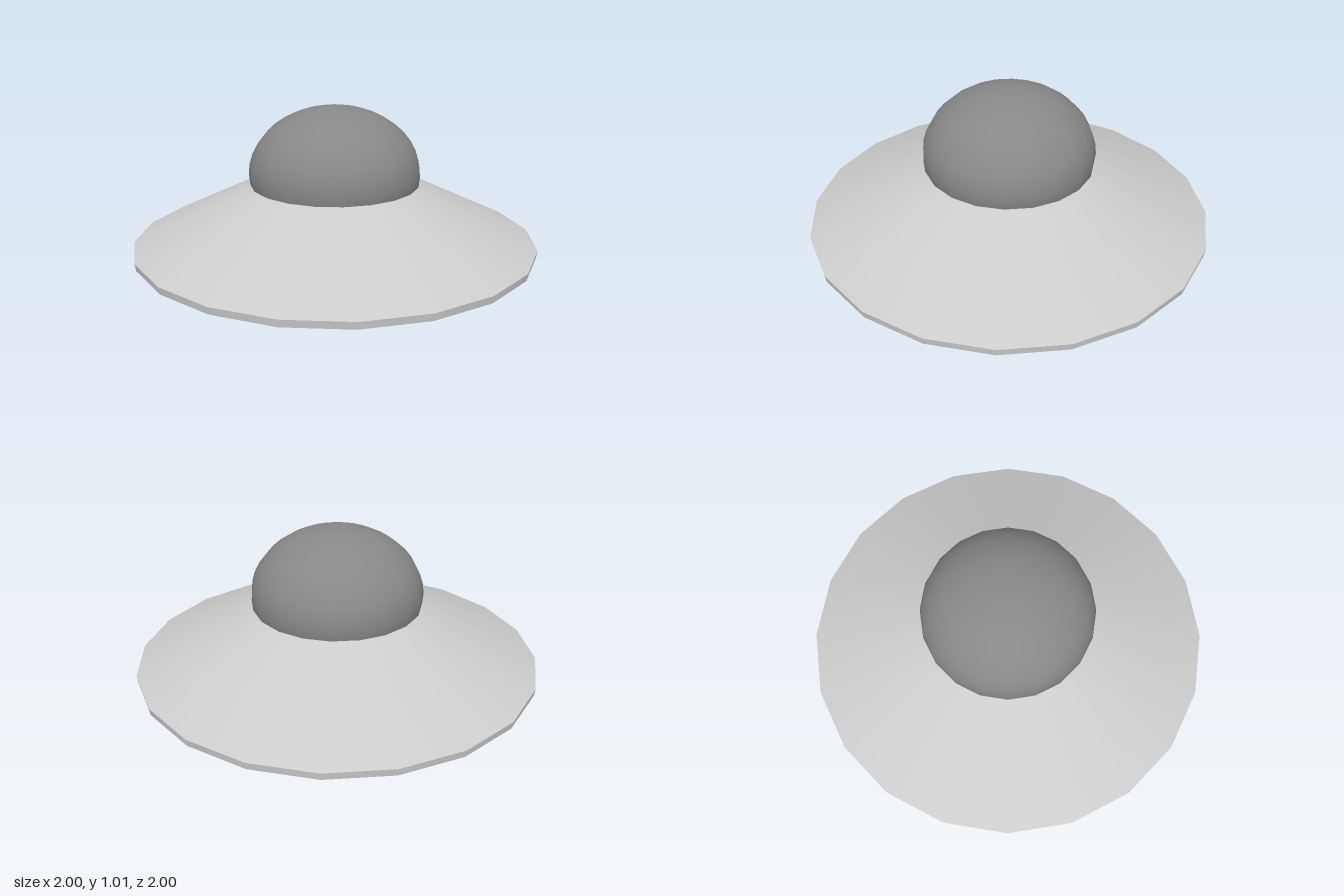
import * as THREE from 'three';

const SIDES = 20;

export function createModel() {
  const model = new THREE.Group();
  const hullMaterial = new THREE.MeshStandardMaterial({ color: 0xcccccc });
  const domeMaterial = new THREE.MeshStandardMaterial({ color: 0x888888 });

  const add = (name, geometry, material, y) => {
    const mesh = new THREE.Mesh(geometry, material);
    mesh.name = name;
    mesh.position.y = y;
    model.add(mesh);
    return mesh;
  };

  // Flattened sphere, given by its radius, half height and centre height
  const addDome = (name, radius, halfHeight, y) => {
    const dome = add(name, new THREE.SphereGeometry(radius, SIDES, 20), domeMaterial, y);
    dome.scale.y = halfHeight / radius;
  };

  // Sloping saucer on a thin rim
  add('saucer', new THREE.CylinderGeometry(0.42, 1, 0.28, SIDES, 1), hullMaterial, 0.495);
  add('rim', new THREE.CylinderGeometry(1, 0.995, 0.035, SIDES, 1), hullMaterial, 0.3375);

  // Cockpit above, rounded belly below
  addDome('cockpitDome', 0.423, 0.33, 0.69);
  addDome('bellyDome', 0.505, 0.4, 0.405);

  return model;
}
